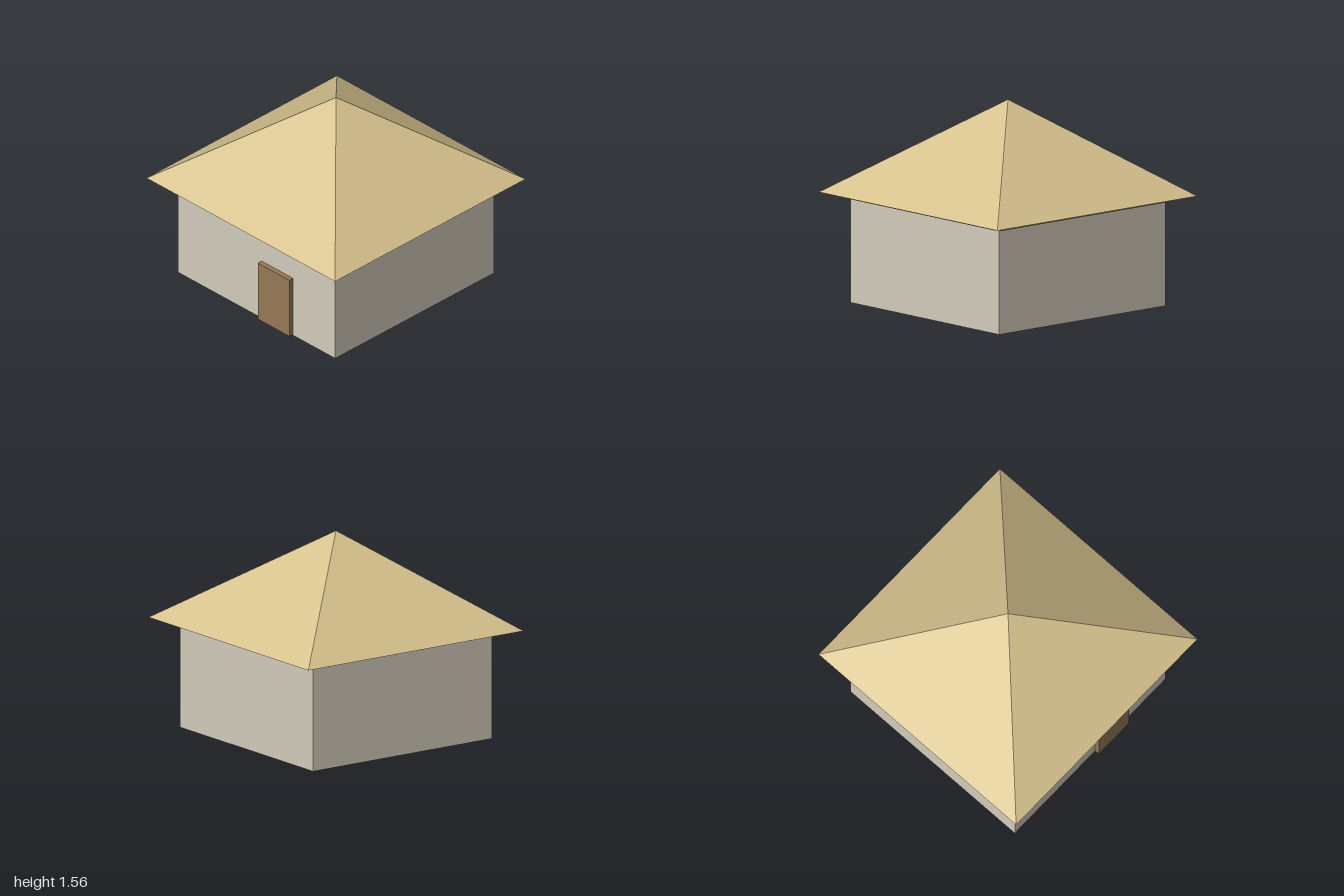
import * as THREE from 'three';

const material = (name, color) => {
  const m = new THREE.MeshStandardMaterial({ color });
  m.name = name;
  return m;
};

export function createModel() {
  const plaster = material('plaster', 0xd3ccbc);
  const wood = material('wood', 0x977957);
  const thatch = material('thatch', 0xd5c18d);

  const hut = new THREE.Group();
  hut.name = 'hut';

  const box = (name, mat, size, position, parent = hut) => {
    const mesh = new THREE.Mesh(new THREE.BoxGeometry(...size), mat);
    mesh.name = name;
    mesh.position.set(...position);
    parent.add(mesh);
  };

  // Walls and the off-centre door
  box('walls', plaster, [1.664, 0.835, 1.664], [0, 0.4175, 0]);
  box('door', wood, [0.333, 0.497, 0.08], [0.219, 0.258, 0.832]);

  // Four eave beams, stopping at the wall corners
  const beams = new THREE.Group();
  beams.name = 'eaveBeams';
  for (const side of [-1, 1]) {
    const end = side > 0 ? 'front' : 'back';
    const flank = side > 0 ? 'left' : 'right';
    box(end + 'Beam', wood, [1.664, 0.044, 0.066], [0, 0.816, side * 0.832], beams);
    box(flank + 'Beam', wood, [0.066, 0.044, 1.664], [side * 0.832, 0.816, 0], beams);
  }
  hut.add(beams);

  // Closed four-sided pyramid roof, turned so its eaves are square to the walls
  const roofGeometry = new THREE.ConeGeometry(Math.SQRT2, 0.72, 4, 1).toNonIndexed();
  roofGeometry.rotateY(Math.PI / 4);
  roofGeometry.computeVertexNormals();
  const roof = new THREE.Mesh(roofGeometry, thatch);
  roof.name = 'roof';
  roof.position.y = 0.837 + 0.36;
  hut.add(roof);

  return hut;
}
